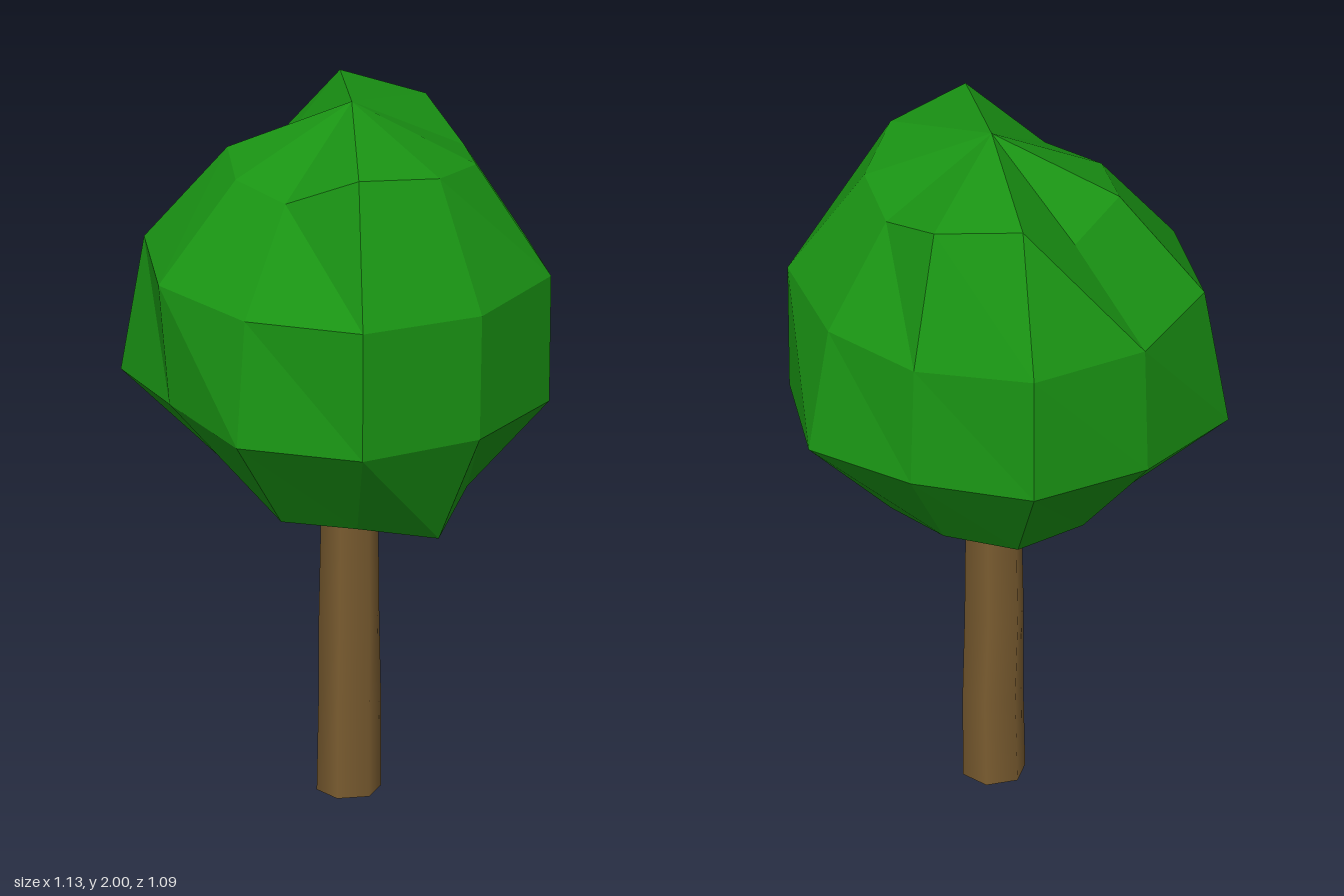
import * as THREE from 'three';

// Distance of each corner from the trunk axis, one list per crown ring (top to
// bottom), running from +x towards +z in steps of 36 degrees
const RINGS = [
  [0.385, 0.412, 0.324, 0.332, 0.342, 0.30, 0.411, 0.386, 0.335, 0.355],
  [0.565, 0.592, 0.53, 0.557, 0.575, 0.56, 0.57, 0.515, 0.515, 0.565],
  [0.555, 0.575, 0.57, 0.525, 0.64, 0.57, 0.57, 0.535, 0.575, 0.56],
  [0.38, 0.345, 0.345, 0.295, 0.335, 0.33, 0.34, 0.325, 0.32, 0.33],
];

// Trunk cross-sections, top to bottom: y, centre x, centre z, radius x, radius z
const SECTIONS = [
  [0.92, 0.008, 0.005, 0.082, 0.075],
  [0.5, 0.008, 0.008, 0.088, 0.081],
  [0.25, 0.017, 0.013, 0.083, 0.088],
  [0, 0.012, 0.012, 0.087, 0.089],
];

// Faceted ball whose corners are pushed in and out along their own direction
function makeCrown() {
  const centreY = 1.36, sides = 10, bands = 5;
  const geo = new THREE.SphereGeometry(1, sides, bands);
  const pos = geo.attributes.position;
  const v = new THREE.Vector3();
  for (let i = 0; i < pos.count; i++) {
    const row = Math.floor(i / (sides + 1));
    const col = (15 - (i % (sides + 1))) % sides;
    v.fromBufferAttribute(pos, i);
    if (row === 0) v.set(0.01, 0.64, 0);
    else if (row === bands) v.set(0.01, -0.545, 0);
    else v.multiplyScalar(RINGS[row - 1][col] / Math.sin((row * Math.PI) / bands));
    pos.setXYZ(i, v.x, v.y + centreY, v.z);
  }
  geo.computeVertexNormals();
  const mesh = new THREE.Mesh(geo, new THREE.MeshStandardMaterial({ color: 0x1a9514, flatShading: true }));
  mesh.name = 'crown';
  return mesh;
}

// Six-sided open tube, slightly bent
function makeTrunk() {
  const sides = 6;
  const geo = new THREE.CylinderGeometry(1, 1, 1, sides, SECTIONS.length - 1, true, Math.PI / 2);
  const pos = geo.attributes.position;
  for (let i = 0; i < pos.count; i++) {
    const [y, cx, cz, rx, rz] = SECTIONS[Math.floor(i / (sides + 1))];
    pos.setXYZ(i, cx + pos.getX(i) * rx, y, cz + pos.getZ(i) * rz);
  }
  const mesh = new THREE.Mesh(geo, new THREE.MeshStandardMaterial({ color: 0x7a5c30, side: THREE.DoubleSide }));
  mesh.name = 'trunk';
  return mesh;
}

export function createModel() {
  const tree = new THREE.Group();
  tree.name = 'tree';
  tree.add(makeTrunk(), makeCrown());
  return tree;
}
